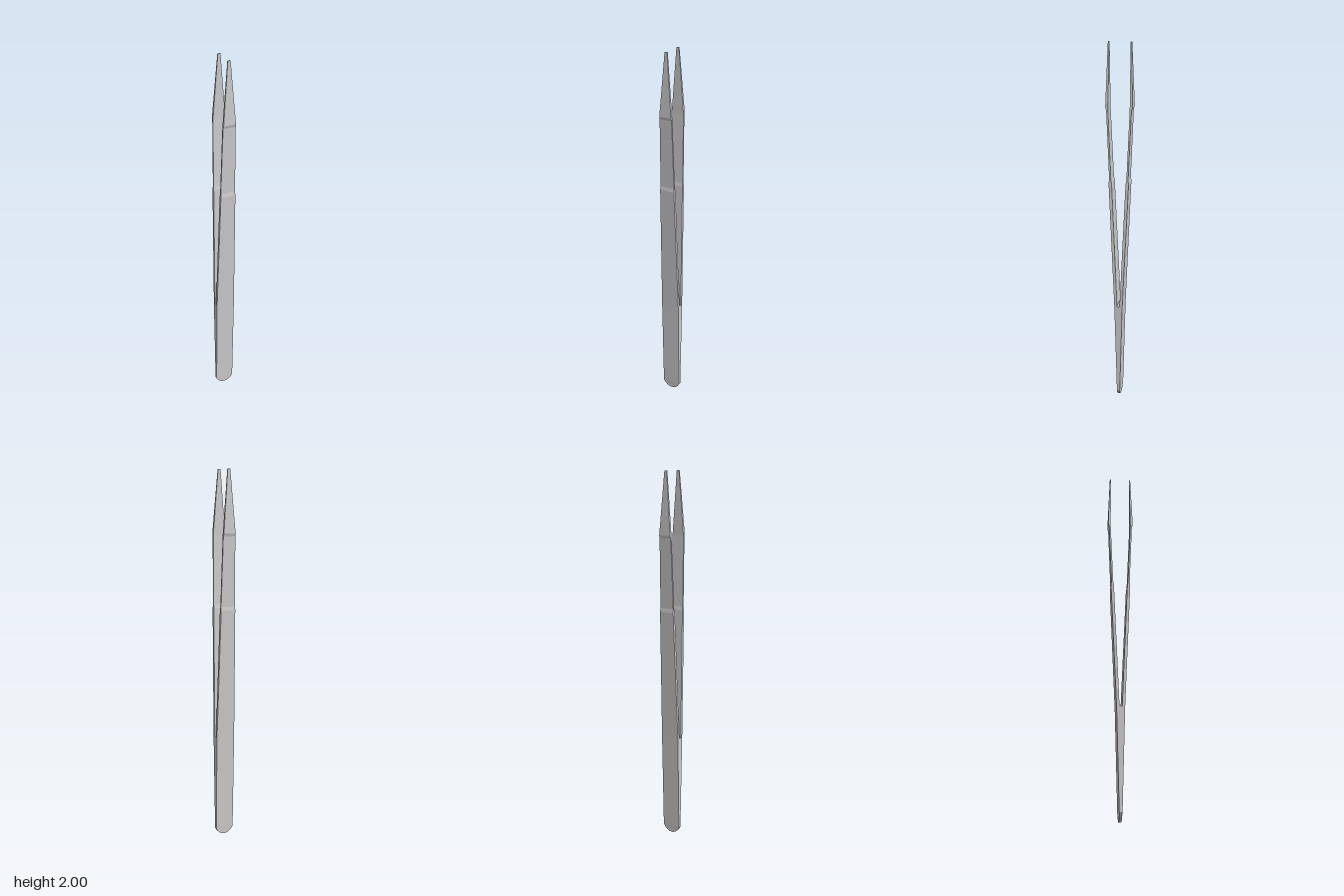
import * as THREE from 'three';

const material = new THREE.MeshStandardMaterial({ color: 0xcccccc, flatShading: true });

// Lofts rectangular sections; each row is [y, half width, inner z, outer z], from bottom to top.
function loft(name, rows) {
  const rings = rows.map(([y, w, zIn, zOut]) => [
    [-w, y, zOut], [w, y, zOut], [w, y, zIn], [-w, y, zIn],
  ]);
  const positions = [];
  const quad = (a, b, c, d) => positions.push(...a, ...b, ...c, ...a, ...c, ...d);
  for (let r = 0; r < rings.length - 1; r++) {
    const low = rings[r], high = rings[r + 1];
    for (let i = 0; i < 4; i++) {
      const j = (i + 1) % 4;
      quad(low[i], low[j], high[j], high[i]);
    }
  }
  quad(...rings[rings.length - 1]);
  quad(...[...rings[0]].reverse());
  const geometry = new THREE.BufferGeometry();
  geometry.setAttribute('position', new THREE.Float32BufferAttribute(positions, 3));
  geometry.computeVertexNormals();
  const mesh = new THREE.Mesh(geometry, material);
  mesh.name = name;
  return mesh;
}

export function createModel() {
  const group = new THREE.Group();
  group.name = 'tweezers';

  // Solid wedge with a rounded lower end, where both arms are joined
  const handleRows = [
    [0, 0.012, 0.007], [0.008, 0.028, 0.007], [0.02, 0.041, 0.007],
    [0.036, 0.051, 0.008], [0.575, 0.052, 0.022],
  ].map(([y, w, z]) => [y, w, -z, z]);
  group.add(loft('joinedHandle', handleRows));

  // Springy arm: thick shank, thinner neck, then a stepped pointed tip
  const armRows = [
    [0.575, 0.052, 0.007, 0.022],
    [1.28, 0.041, 0.037, 0.053],
    [1.3, 0.04, 0.041, 0.05],
    [1.665, 0.034, 0.056, 0.065],
    [1.68, 0.033, 0.056, 0.07],
    [2, 0.007, 0.054, 0.06],
  ];
  const frontArm = loft('frontArm', armRows);
  const backArm = loft('backArm', armRows);
  backArm.rotation.y = Math.PI;
  group.add(frontArm, backArm);

  return group;
}
